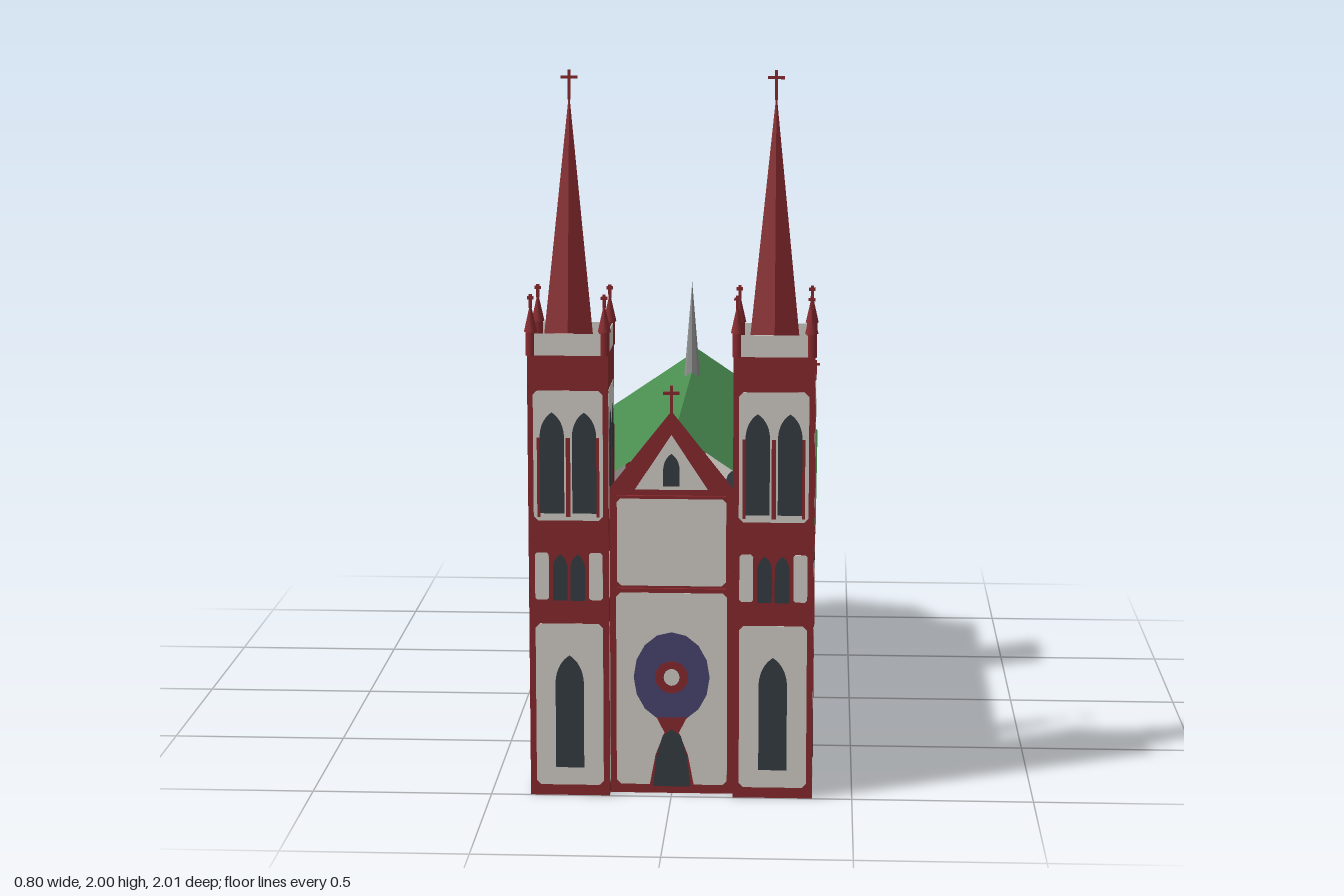
import * as THREE from 'three';

const mat = (name, color, side = THREE.FrontSide) => {
  const m = new THREE.MeshStandardMaterial({ color, side });
  m.name = name;
  return m;
};

export function createModel() {
  const brick = mat('brick red', 0x8a2a2e);
  const plaster = mat('pale plaster', 0xd6d2cb);
  const glass = mat('dark glass', 0x363d44);
  const rose = mat('rose glass', 0x4a4672);
  const green = mat('roof green', 0x4a8c50, THREE.DoubleSide);
  const grey = mat('lead grey', 0x929292);

  const model = new THREE.Group();
  model.name = 'church';

  const add = (parent, name, geo, material, x = 0, y = 0, z = 0) => {
    const m = new THREE.Mesh(geo, material);
    m.name = name;
    m.position.set(x, y, z);
    parent.add(m);
    return m;
  };
  const box = (p, name, m, w, h, d, x, y, z) => add(p, name, new THREE.BoxGeometry(w, h, d), m, x, y, z);

  // Thin plate centred on the wall plane, so it shows on both faces; a higher layer covers a lower one
  const plate = (p, name, shape, material, layer, x = 0, y = 0) => {
    const depth = 0.0025 + 0.0018 * layer;
    const geo = new THREE.ExtrudeGeometry(shape, { depth, bevelEnabled: false, curveSegments: 8 });
    return add(p, name, geo.translate(0, 0, -depth / 2), material, x, y);
  };
  const poly = (...pts) => new THREE.Shape(pts.map(([x, y]) => new THREE.Vector2(x, y)));
  const rect = (x0, x1, y0, y1) => poly([x0, y0], [x1, y0], [x1, y1], [x0, y1]);
  const panel = (x0, x1, y0, y1, c = 0.012) => poly([x0 + c, y0], [x1 - c, y0], [x1, y0 + c], [x1, y1 - c],
    [x1 - c, y1], [x0 + c, y1], [x0, y1 - c], [x0, y0 + c]);
  const lancet = (w, h) => {
    const s = new THREE.Shape(), spring = h - w * 0.95;
    s.moveTo(-w / 2, 0).lineTo(w / 2, 0).lineTo(w / 2, spring);
    s.quadraticCurveTo(w * 0.45, h - w * 0.3, 0, h);
    s.quadraticCurveTo(-w * 0.45, h - w * 0.3, -w / 2, spring);
    return s;
  };
  const ellipse = (rx, ry) => new THREE.Shape().absellipse(0, 0, rx, ry, 0, Math.PI * 2);

  // Wall group: local x runs along the wall, local z points outwards
  const wallGroup = (parent, name, x, z, angle) => {
    const g = new THREE.Group();
    g.name = name;
    g.position.set(x, 0, z);
    g.rotation.y = angle;
    parent.add(g);
    return g;
  };
  const cross = (p, x, y, z, h, w) => {
    box(p, 'crossPost', brick, 0.008, h, 0.008, x, y + h / 2, z);
    box(p, 'crossArm', brick, w, 0.008, 0.008, x, y + h * 0.75, z);
  };

  // One face of a tower
  const towerFace = (tower, angle) => {
    const g = wallGroup(tower, 'towerWall', Math.sin(angle) * 0.108, Math.cos(angle) * 0.108, angle);
    plate(g, 'wall', rect(-0.11, 0.11, 0, 1.236), brick, 0);
    plate(g, 'parapet', rect(-0.11, 0.11, 1.236, 1.296), plaster, 0);
    plate(g, 'lowerPanel', panel(-0.093, 0.093, 0.03, 0.49), plaster, 1);
    plate(g, 'lowerWindow', lancet(0.078, 0.32), glass, 2, 0, 0.08);
    plate(g, 'belfryPanel', panel(-0.095, 0.095, 0.78, 1.14), plaster, 1);
    for (const s of [-1, 1]) {
      plate(g, 'middlePanel', panel(s * 0.074 - 0.019, s * 0.074 + 0.019, 0.557, 0.69, 0.006), plaster, 1);
      plate(g, 'middleWindow', lancet(0.04, 0.13), glass, 2, s * 0.024, 0.555);
      plate(g, 'belfryWindow', lancet(0.066, 0.28), glass, 2, s * 0.044, 0.8);
      plate(g, 'belfryColumn', rect(-0.004, 0.004, 0.79, 1.01), brick, 3, s * 0.081);
    }
    plate(g, 'belfryMullion', rect(-0.006, 0.006, 0.79, 1.01), brick, 3);
  };

  // Eight-sided spire with three open sides, given as side indices
  const spireGeometry = (r, y0, y1, open) => {
    const v = [];
    const at = (i) => [Math.cos(i * Math.PI / 4) * r, y0, Math.sin(i * Math.PI / 4) * r];
    for (let i = 0; i < 8; i++) if (!open.includes(i)) v.push(...at(i + 1), ...at(i), 0, y1, 0);
    const geo = new THREE.BufferGeometry();
    geo.setAttribute('position', new THREE.Float32BufferAttribute(v, 3));
    geo.computeVertexNormals();
    return geo;
  };

  // Twin towers
  for (const s of [-1, 1]) {
    const tower = new THREE.Group();
    tower.name = s > 0 ? 'leftTower' : 'rightTower';
    tower.position.set(s * 0.28, 0, 0.888);
    model.add(tower);
    for (let i = 0; i < 4; i++) towerFace(tower, i * Math.PI / 2);
    box(tower, 'towerDeck', brick, 0.212, 0.008, 0.212, 0, 1.24, 0);
    add(tower, 'spire', spireGeometry(0.1, 1.245, 1.94, [0, 3, 5]), brick);
    cross(tower, 0, 1.92, 0, 0.08, 0.046);
    for (const cx of [-1, 1]) for (const cz of [-1, 1]) {
      const x = cx * 0.1, z = cz * 0.1;
      add(tower, 'pinnacleBase', new THREE.CylinderGeometry(0.014, 0.014, 0.07, 8), brick, x, 1.27, z);
      add(tower, 'pinnacle', new THREE.ConeGeometry(0.018, 0.08, 8), brick, x, 1.34, z);
      cross(tower, x, 1.365, z, 0.037, 0.018);
    }
  }

  // Front wall between the towers, with gable, rose window and door
  const front = wallGroup(model, 'frontWall', 0, 0.965, 0);
  plate(front, 'wall', poly([-0.17, 0], [0.17, 0], [0.17, 0.865], [0, 1.08], [-0.17, 0.865]), brick, 0);
  plate(front, 'lowerPanel', panel(-0.153, 0.153, 0.025, 0.572), plaster, 1);
  plate(front, 'upperPanel', panel(-0.15, 0.15, 0.592, 0.838), plaster, 1);
  plate(front, 'gablePanel', poly([-0.1, 0.862], [0.1, 0.862], [0, 1.015]), plaster, 1);
  plate(front, 'gableWindow', lancet(0.045, 0.09), glass, 2, 0, 0.872);
  plate(front, 'roseWindow', ellipse(0.105, 0.128), rose, 2, 0, 0.333);
  plate(front, 'roseRing', ellipse(0.046, 0.046), brick, 3, 0, 0.333);
  plate(front, 'roseCentre', ellipse(0.022, 0.024), plaster, 4, 0, 0.333);
  plate(front, 'doorFrame', poly([-0.062, 0.02], [0.062, 0.02], [0.045, 0.11], [0.02, 0.175],
    [0.042, 0.218], [-0.042, 0.218], [-0.02, 0.175], [-0.045, 0.11]), brick, 3);
  plate(front, 'door', poly([-0.052, 0.02], [0.052, 0.02], [0.042, 0.11], [0.025, 0.165],
    [0, 0.185], [-0.025, 0.165], [-0.042, 0.11]), glass, 4);
  for (const y of [0.582, 0.842]) box(front, 'moulding', brick, 0.3, 0.008, 0.02, 0, y, 0);
  cross(front, 0, 1.07, 0, 0.08, 0.044);

  // A bay with a tall lancet below and a paired window above
  const bay = (name, x, z, angle, w, h, mid, k = 1) => {
    const g = wallGroup(model, name, x, z, angle);
    const e = w / 2 - 0.014;
    plate(g, 'wall', rect(-w / 2, w / 2, 0, h), brick, 0);
    plate(g, 'lowerPanel', panel(-e, e, 0.018, mid - 0.007, 0.018), plaster, 1);
    plate(g, 'upperPanel', panel(-e, e, mid + 0.007, h - 0.025, 0.018), plaster, 1);
    plate(g, 'lowerWindow', lancet(0.112 * k, mid - 0.11), glass, 2, 0, 0.052);
    plate(g, 'windowMullion', rect(-0.006, 0.006, 0, 0.11), brick, 2, 0, mid + 0.063 * k);
    for (const s of [-1, 1]) {
      plate(g, 'upperWindow', lancet(0.05 * k, 0.132 * k), glass, 3, s * 0.029 * k, mid + 0.062 * k);
      box(g, 'pier', brick, 0.014, h, 0.012, s * (w / 2 - 0.007), h / 2, 0);
      box(g, 'pierKnot', brick, 0.024, 0.024, 0.014, s * (w / 2 - 0.012), mid, 0).rotation.z = Math.PI / 4;
    }
  };

  // Nave walls, five bays a side
  const naveBack = -0.665, naveFront = 0.777, step = (naveFront - naveBack) / 5;
  for (const s of [-1, 1]) for (let i = 0; i < 5; i++) {
    bay('naveBay', s * 0.382, naveBack + step * (i + 0.5), s * Math.PI / 2, step, 0.718, 0.382);
  }

  // Nave roof, two thin slopes
  const surface = (name, verts, index) => {
    const geo = new THREE.BufferGeometry();
    geo.setAttribute('position', new THREE.Float32BufferAttribute(verts, 3));
    geo.setIndex(index);
    const flat = geo.toNonIndexed();
    flat.computeVertexNormals();
    add(model, name, flat, green);
  };
  surface('naveRoof', [-0.394, 0.72, naveFront, 0, 0.987, naveFront, 0.394, 0.72, naveFront,
    -0.394, 0.72, naveBack, 0, 0.987, naveBack, 0.394, 0.72, naveBack],
  [0, 1, 3, 1, 4, 3, 1, 2, 4, 2, 5, 4]);

  // Apse: four walls round the back under a faceted roof
  const plan = [[0.37, -0.665], [0.26, -0.905], [0, -1], [-0.26, -0.905], [-0.37, -0.665]];
  const roofVerts = [0, 0.94, -0.665];
  for (const [x, z] of plan) roofVerts.push(x, 0.645, z);
  surface('apseRoof', roofVerts, [0, 1, 2, 0, 2, 3, 0, 3, 4, 0, 4, 5]);
  for (let i = 0; i < 4; i++) {
    const [ax, az] = plan[i], [bx, bz] = plan[i + 1];
    const dx = bx - ax, dz = bz - az;
    const angle = Math.atan2(-dz, dx);
    const n = [Math.sin(angle), Math.cos(angle)];
    const out = n[0] * (ax + bx) + n[1] * (az + bz + 1.33) > 0 ? angle : angle + Math.PI;
    bay('apseBay', (ax + bx) / 2 - Math.sin(out) * 0.006, (az + bz) / 2 - Math.cos(out) * 0.006,
      out, Math.hypot(dx, dz), 0.643, 0.345, 0.9);
  }

  // Flat dormer gables rising from the eaves
  for (const s of [-1, 1]) {
    const g = wallGroup(model, 'dormer', s * 0.388, -0.235, s * Math.PI / 2);
    plate(g, 'dormerWall', rect(-0.116, 0.116, 0.705, 0.985), brick, 0);
    plate(g, 'dormerPanel', poly([-0.1, 0.738], [0.1, 0.738], [0.1, 0.868], [0.06, 0.925],
      [0, 0.962], [-0.06, 0.925], [-0.1, 0.868]), plaster, 1);
    plate(g, 'dormerSill', rect(-0.1, 0.1, 0.705, 0.722), plaster, 1);
    box(g, 'finial', brick, 0.006, 0.045, 0.006, 0, 1.003, 0);
    box(g, 'finialArm', brick, 0.006, 0.006, 0.026, 0, 1.012, 0);
  }

  // Slender ridge spire
  const cone = new THREE.ConeGeometry(0.025, 0.3, 8).toNonIndexed();
  cone.computeVertexNormals();
  add(model, 'ridgeSpire', cone, grey, 0, 1.12, -0.235);

  return model;
}
